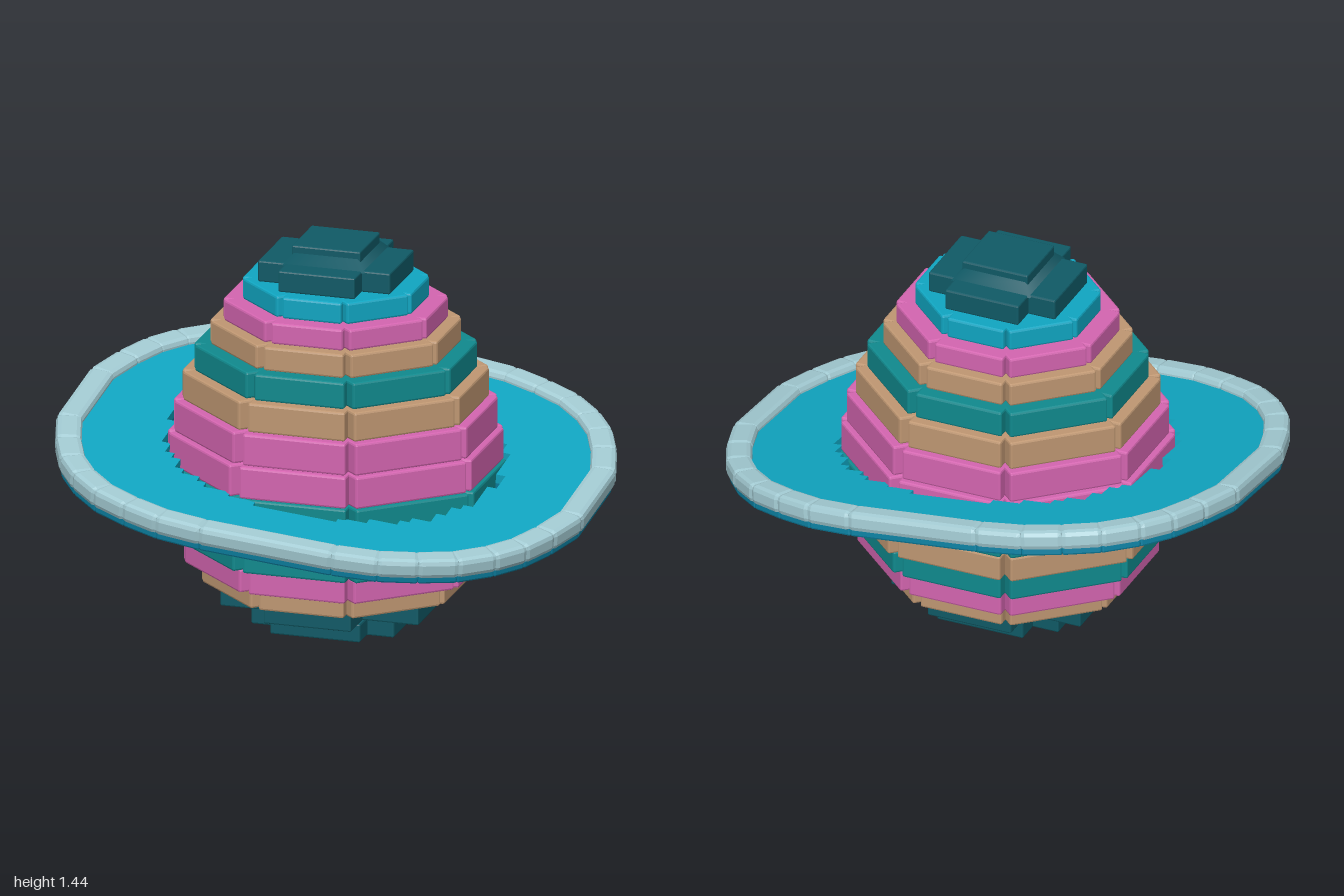
import * as THREE from 'three';
import { RoundedBoxGeometry } from 'three/addons/geometries/RoundedBoxGeometry.js';

const mat = (name, color) => Object.assign(new THREE.MeshStandardMaterial({ color }), { name });

// Box with small flat chamfers on its edges
function chamferBox(w, h, d, c) {
  const g = new RoundedBoxGeometry(w, h, d, 1, c);
  g.computeVertexNormals();
  return g;
}

function add(parent, name, geometry, material, x = 0, y = 0, z = 0, yaw = 0) {
  const m = new THREE.Mesh(geometry, material);
  m.name = name;
  m.position.set(x, y, z);
  m.rotation.y = yaw;
  parent.add(m);
  return m;
}

export function createModel() {
  const pink = mat('pink', 0xd465b0);
  const tan = mat('tan', 0xbf9772);
  const teal = mat('teal', 0x108a8e);
  const dark = mat('dark teal', 0x105a66);
  const cyan = mat('cyan', 0x10a6c2);
  const blue = mat('deep blue', 0x0b7fa0);
  const pale = mat('pale blue', 0xa2cad2);

  const model = new THREE.Group();
  model.name = 'ringedPlanet';
  const DEPTH = 0.91; // the body is slightly narrower front to back

  // Body: stacked tiers of eight panels, made of four crossing slabs each
  const body = new THREE.Group();
  body.name = 'body';
  body.scale.z = DEPTH;
  model.add(body);
  const tiers = [ // bottom, top, radius, colour
    [0.145, 0.22, 0.46, tan],
    [0.22, 0.31, 0.52, pink],
    [0.31, 0.40, 0.555, teal],
    [0.40, 0.50, 0.58, tan],
    [0.50, 0.60, 0.585, teal],
    [0.60, 0.72, 0.575, pink],
    [0.72, 0.84, 0.555, pink],
    [0.84, 0.95, 0.525, tan],
    [0.95, 1.05, 0.485, teal],
    [1.05, 1.14, 0.43, tan],
    [1.14, 1.22, 0.385, pink],
    [1.22, 1.30, 0.32, cyan],
  ];
  for (const [y0, y1, r, m] of tiers) {
    const tier = new THREE.Group();
    tier.name = 'bodyTier';
    body.add(tier);
    const halfWidths = [0.375, 0.4, 0.35, 0.4];
    halfWidths.forEach((k, i) => {
      const reach = i % 2 ? 0.99 * r : r;
      add(tier, 'panelSlab', chamferBox(2 * reach, y1 - y0, 2 * k * r, 0.008), m,
        0, (y0 + y1) / 2, 0, i * Math.PI / 4);
    });
  }

  // Poles: cross-shaped caps
  const cross = (name, y0, y1, rx, rz, hx, hz) => {
    const y = (y0 + y1) / 2;
    add(model, name, chamferBox(2 * rx, y1 - y0, 2 * hz, 0.006), dark, 0, y, 0);
    add(model, name, chamferBox(2 * hx, y1 - y0, 2 * rz, 0.006), dark, 0, y, 0);
  };
  cross('bottomCap', 0, 0.07, 0.27, 0.25, 0.17, 0.16);
  cross('bottomCap', 0.07, 0.145, 0.375, 0.345, 0.165, 0.2);
  cross('topCap', 1.30, 1.38, 0.25, 0.235, 0.145, 0.145);
  add(model, 'topBlock', chamferBox(0.26, 0.065, 0.24, 0.006), dark, 0, 1.41, 0);
  add(model, 'topBlockBase', new THREE.CylinderGeometry(0.17, 0.22, 0.04, 4, 1).rotateY(Math.PI / 4),
    dark, 0, 1.395, 0);

  // Tilted ring
  const ring = new THREE.Group();
  ring.name = 'ring';
  ring.position.y = 0.627;
  ring.rotation.set(0.122, 0, -0.1);
  model.add(ring);

  // Outer outline: one quadrant mirrored all the way round
  const quarter = [[0.25, 0.855], [0.42, 0.835], [0.56, 0.785], [0.69, 0.72],
    [0.80, 0.62], [0.88, 0.51], [0.94, 0.37], [0.99, 0.2]];
  const back = [...quarter].reverse();
  const outline = [
    ...quarter,
    ...back.map(([x, z]) => [x, -z]),
    ...quarter.map(([x, z]) => [-x, -z]),
    ...back.map(([x, z]) => [-x, z]),
  ];

  // Rim: one pale block on a blue footing per outline segment
  outline.forEach(([x0, z0], i) => {
    const [x1, z1] = outline[(i + 1) % outline.length];
    const length = Math.hypot(x1 - x0, z1 - z0);
    const yaw = Math.atan2(-(z1 - z0), x1 - x0);
    const nx = -(z1 - z0) / length, nz = (x1 - x0) / length; // outward
    const off = -0.04;
    const mx = (x0 + x1) / 2, mz = (z0 + z1) / 2;
    add(ring, 'rimBlock', chamferBox(length + 0.012, 0.075, 0.095, 0.02), pale,
      mx + nx * off, 0.01, mz + nz * off, yaw);
    add(ring, 'rimFooting', chamferBox(length, 0.04, 0.08, 0.008), blue,
      mx + nx * (off - 0.005), -0.03, mz + nz * (off - 0.005), yaw);
  });

  // Disc with a stepped inner hole
  const shape = new THREE.Shape(outline.map(([x, z]) => new THREE.Vector2(x * 0.95, z * 0.945)));
  const snap = (v) => Math.round(v / 0.035) * 0.035;
  const steps = [];
  for (let i = 0; i < 96; i++) {
    const a = (i / 96) * Math.PI * 2, c = Math.cos(a), s = Math.sin(a);
    const x = snap(0.615 * Math.sign(c) * Math.abs(c) ** 0.92);
    const z = snap(0.56 * Math.sign(s) * Math.abs(s) ** 0.92);
    const last = steps[steps.length - 1];
    if (last && last.x === x && last.y === z) continue;
    if (last && last.x !== x && last.y !== z) steps.push(new THREE.Vector2(x, last.y));
    steps.push(new THREE.Vector2(x, z));
  }
  shape.holes.push(new THREE.Path(steps));
  const slab = (depth) => new THREE.ExtrudeGeometry(shape, { depth, bevelEnabled: false })
    .rotateX(-Math.PI / 2);
  add(ring, 'ringDisc', slab(0.035), cyan, 0, -0.015, 0);
  add(ring, 'ringUnderside', slab(0.03), blue, 0, -0.045, 0);

  return model;
}
